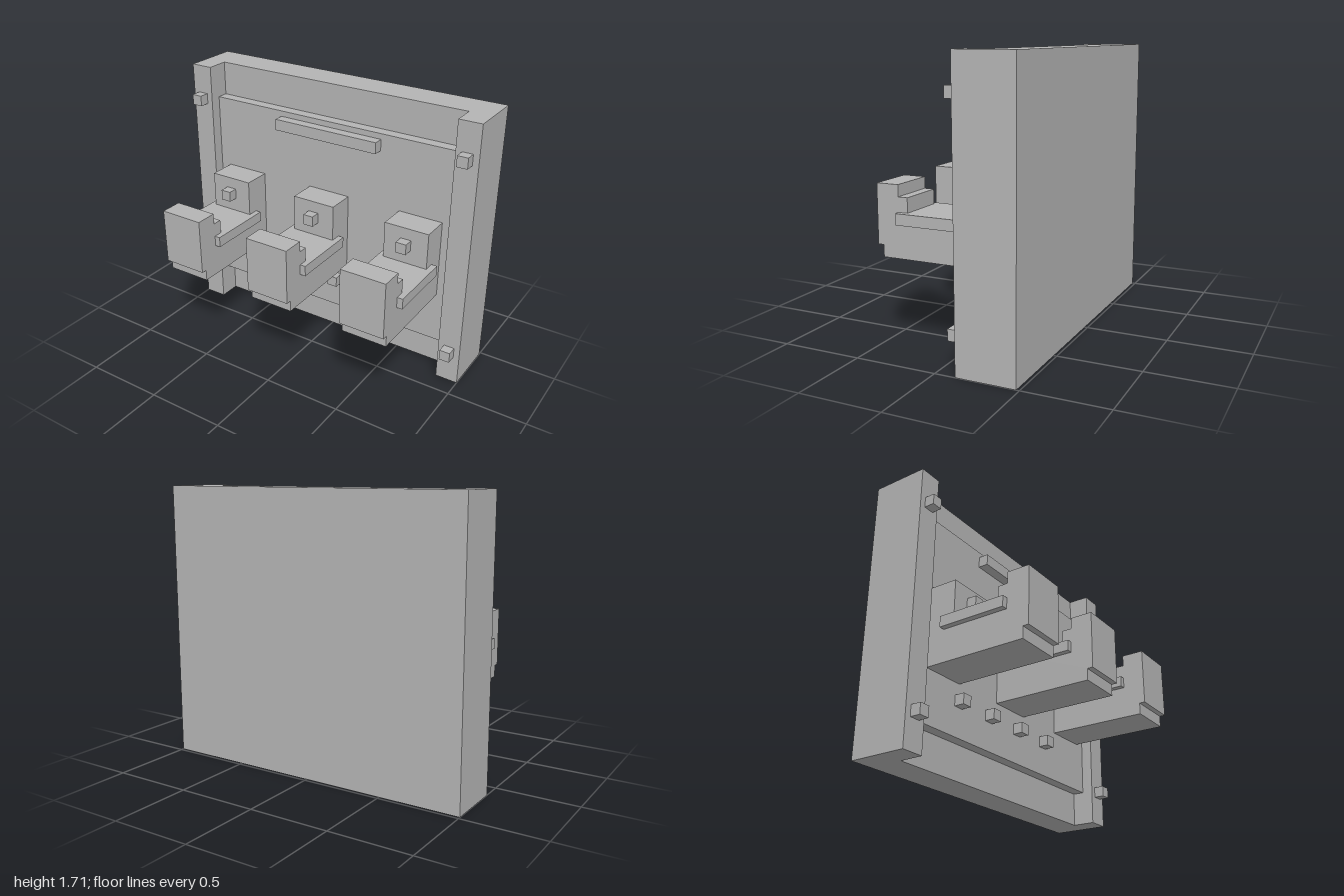
import * as THREE from 'three';

const U = 1 / 14; // module of the design grid

export function createModel() {
  const model = new THREE.Group();
  model.name = 'wallRack';
  const grey = new THREE.MeshStandardMaterial({ color: 0xb4b4b4 });
  grey.name = 'plainGrey';

  // Box from its two corners, in grid modules
  function block(parent, name, [x0, y0, z0], [x1, y1, z1]) {
    const geo = new THREE.BoxGeometry((x1 - x0) * U, (y1 - y0) * U, (z1 - z0) * U);
    const mesh = new THREE.Mesh(geo, grey);
    mesh.position.set((x0 + x1) / 2 * U, (y0 + y1) / 2 * U, (z0 + z1) / 2 * U);
    mesh.name = name;
    parent.add(mesh);
    return mesh;
  }

  // Backboard and side posts as one channel-shaped extrusion
  const outline = [
    [-14, -6.75], [14, -6.75], [14, -1.75], [12, -1.75],
    [12, -3.75], [-12, -3.75], [-12, -1.75], [-14, -1.75],
  ];
  const channel = new THREE.Shape(outline.map(([x, z]) => new THREE.Vector2(x * U, -z * U)));
  const frameGeo = new THREE.ExtrudeGeometry(channel, { depth: 24 * U, bevelEnabled: false });
  frameGeo.rotateX(-Math.PI / 2);
  const frame = new THREE.Mesh(frameGeo, grey);
  frame.name = 'frame';
  model.add(frame);

  // Raised panel and the bar near its top
  block(model, 'panel', [-12, 3, -3.75], [12, 21, -2.75]);
  block(model, 'topBar', [-5, 19.5, -2.75], [5, 20.5, -1.85]);

  // Corner bolts on the posts
  for (const x of [-13, 13])
    for (const y of [3, 21])
      block(model, 'cornerBolt', [x - 0.47, y - 0.47, -1.75], [x + 0.47, y + 0.47, -0.85]);

  // Row of studs below the brackets
  for (const x of [-7, -3, 1, 5])
    block(model, 'stud', [x - 0.47, 5.53, -2.75], [x + 0.47, 6.47, -1.85]);

  // Three brackets: a stepped side profile [z, y], a tray and a bolt
  const profile = [
    [-2.75, 7.55], [6.25, 7.55], [6.25, 8.55], [6.75, 8.55], [6.75, 13.5],
    [4.8, 13.5], [4.8, 12.53], [3.97, 12.53], [3.97, 11.3],
    [-0.25, 11.3], [-0.25, 14.5], [-2.75, 14.5],
  ];
  const side = new THREE.Shape(profile.map(([z, y]) => new THREE.Vector2(-z * U, y * U)));
  const bodyGeo = new THREE.ExtrudeGeometry(side, { depth: 4 * U, bevelEnabled: false });
  bodyGeo.translate(0, 0, -2 * U);
  bodyGeo.rotateY(Math.PI / 2);
  for (const x of [-9, 0, 9]) {
    const bracket = new THREE.Group();
    bracket.name = 'bracket';
    bracket.position.x = x * U;
    const body = new THREE.Mesh(bodyGeo, grey);
    body.name = 'bracketBody';
    bracket.add(body);
    // Side ledges flush with the seat
    for (const s of [-2.5, 2])
      block(bracket, 'sideLedge', [s, 10.37, -1.22], [s + 0.5, 11.3, 4.78]);
    block(bracket, 'bracketBolt', [-0.47, 12.56, -0.25], [0.47, 13.5, 0.62]);
    model.add(bracket);
  }
  return model;
}
